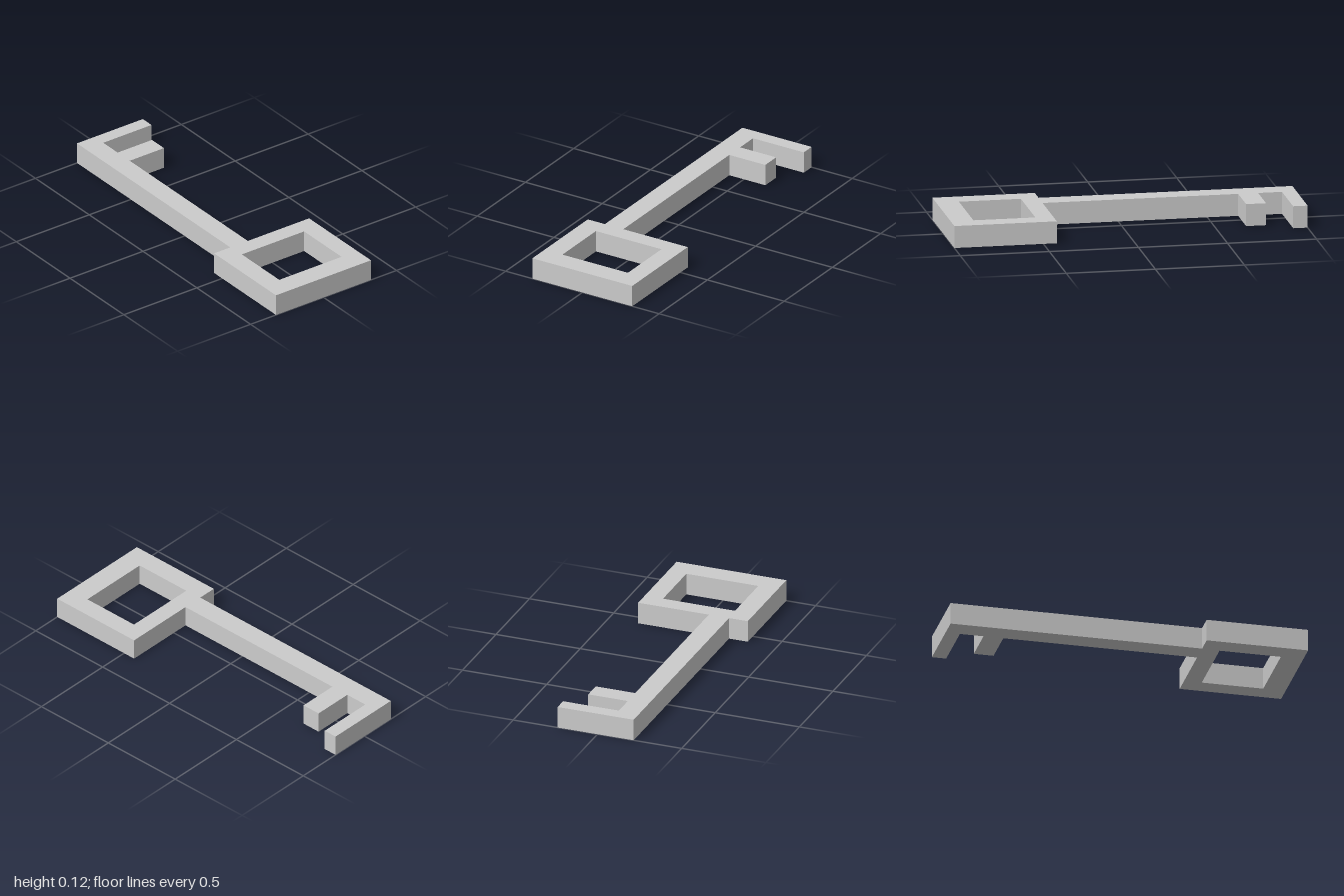
import * as THREE from 'three';

const BOTTOM = 0.002;
const THICKNESS = 0.125;
const material = new THREE.MeshStandardMaterial({ color: 0xcccccc, flatShading: true });

// Counter-clockwise rectangle in plan; plan y is -z
function rectangle(path, x0, x1, z0, z1) {
  path.moveTo(x0, -z1);
  path.lineTo(x1, -z1);
  path.lineTo(x1, -z0);
  path.lineTo(x0, -z0);
  path.closePath();
  return path;
}

// Flat slab of the key, with an optional rectangular hole
function slab(name, bounds, hole) {
  const shape = rectangle(new THREE.Shape(), ...bounds);
  if (hole) shape.holes.push(rectangle(new THREE.Path(), ...hole));
  const geometry = new THREE.ExtrudeGeometry(shape, { depth: THICKNESS, bevelEnabled: false });
  geometry.rotateX(-Math.PI / 2);
  geometry.translate(0, BOTTOM, 0);
  const mesh = new THREE.Mesh(geometry, material);
  mesh.name = name;
  return mesh;
}

export function createModel() {
  const key = new THREE.Group();
  key.name = 'key';
  key.add(
    // Square handle with its window
    slab('bow', [-0.326, 0.325, 0.425, 1], [-0.21, 0.217, 0.525, 0.873]),
    // Long bar, offset to one side
    slab('shaft', [-0.215, -0.095, -1, 0.425]),
    // Two teeth at the far end
    slab('innerTooth', [-0.095, 0.14, -0.785, -0.673]),
    slab('endTooth', [-0.095, 0.236, -1, -0.919])
  );
  return key;
}
